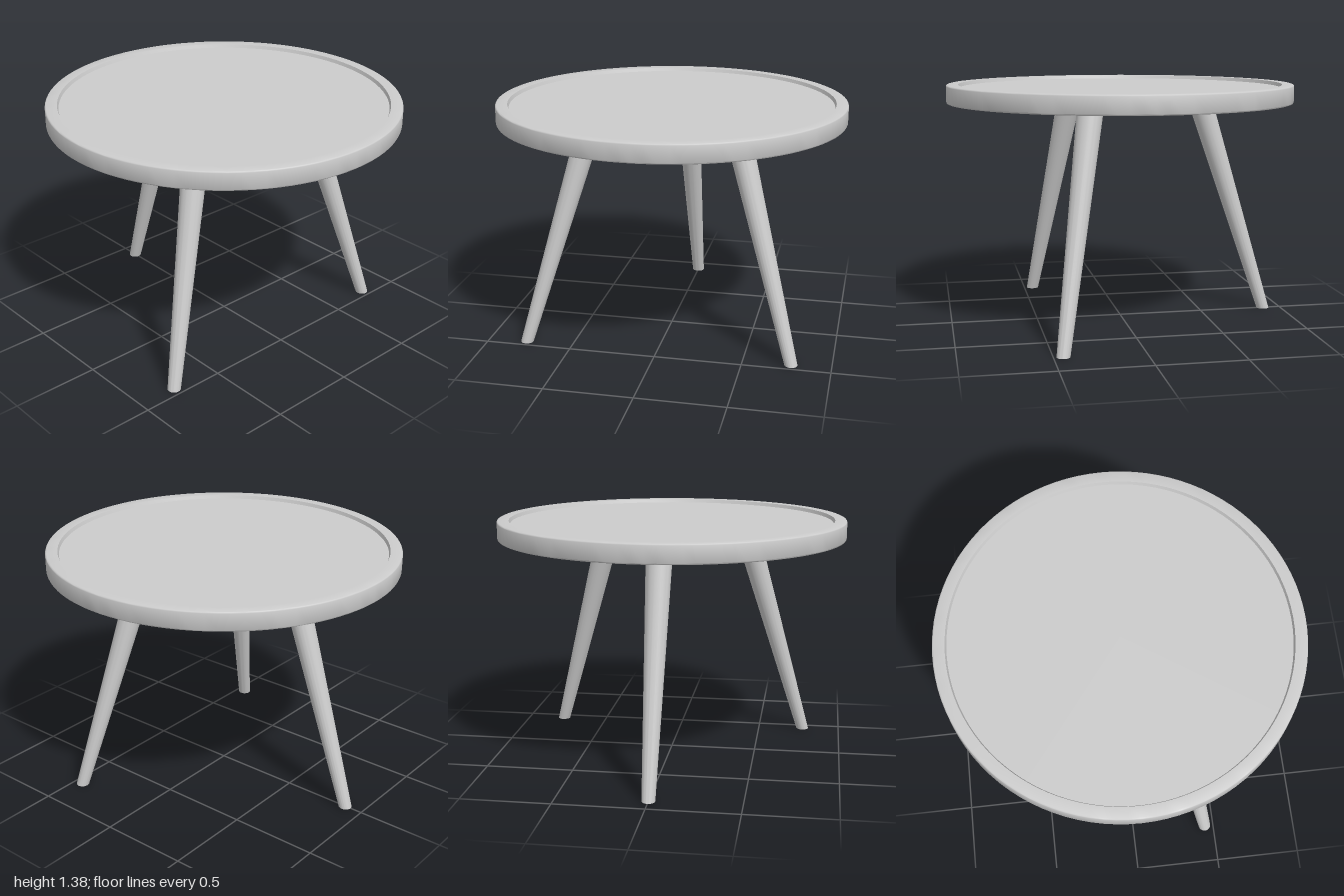
import * as THREE from 'three';
import { toCreasedNormals } from 'three/addons/utils/BufferGeometryUtils.js';

const TOP_Y = 1.385, UNDER_Y = 1.28, BEVEL = 0.008;

// Round top with a softly bevelled edge and a shallow recessed tray
function tabletopGeometry() {
  const profile = [
    [0, UNDER_Y], [1 - BEVEL, UNDER_Y], [1 - BEVEL * 0.3, UNDER_Y + BEVEL * 0.3],
    [1, UNDER_Y + BEVEL], [1, TOP_Y - BEVEL],
    [1 - BEVEL * 0.3, TOP_Y - BEVEL * 0.3], [1 - BEVEL, TOP_Y],
    [0.932, TOP_Y], [0.925, TOP_Y - 0.02], [0, TOP_Y - 0.02],
  ].map(([r, y]) => new THREE.Vector2(r, y));
  return toCreasedNormals(new THREE.LatheGeometry(profile, 96), 0.85);
}

// Tapered leg, sheared outward so that its foot stays flat on the floor
function legGeometry() {
  const height = UNDER_Y + 0.01;
  const geometry = new THREE.CylinderGeometry(0.074, 0.037, height, 40);
  geometry.translate(0, height / 2, 0);
  const position = geometry.attributes.position;
  for (let i = 0; i < position.count; i++) {
    const t = position.getY(i) / UNDER_Y;
    position.setX(i, position.getX(i) + THREE.MathUtils.lerp(0.893, 0.48, t));
  }
  return toCreasedNormals(geometry, 0.6);
}

export function createModel() {
  const table = new THREE.Group();
  table.name = 'roundTable';
  const material = new THREE.MeshStandardMaterial({ color: 0xcccccc });

  const tabletop = new THREE.Mesh(tabletopGeometry(), material);
  tabletop.name = 'tabletop';
  table.add(tabletop);

  // Three legs evenly spaced, one pointing to -x
  const geometry = legGeometry();
  ['rightLeg', 'frontLeg', 'backLeg'].forEach((name, i) => {
    const leg = new THREE.Mesh(geometry, material);
    leg.name = name;
    leg.rotation.y = Math.PI + (i * Math.PI * 2) / 3;
    table.add(leg);
  });
  return table;
}
